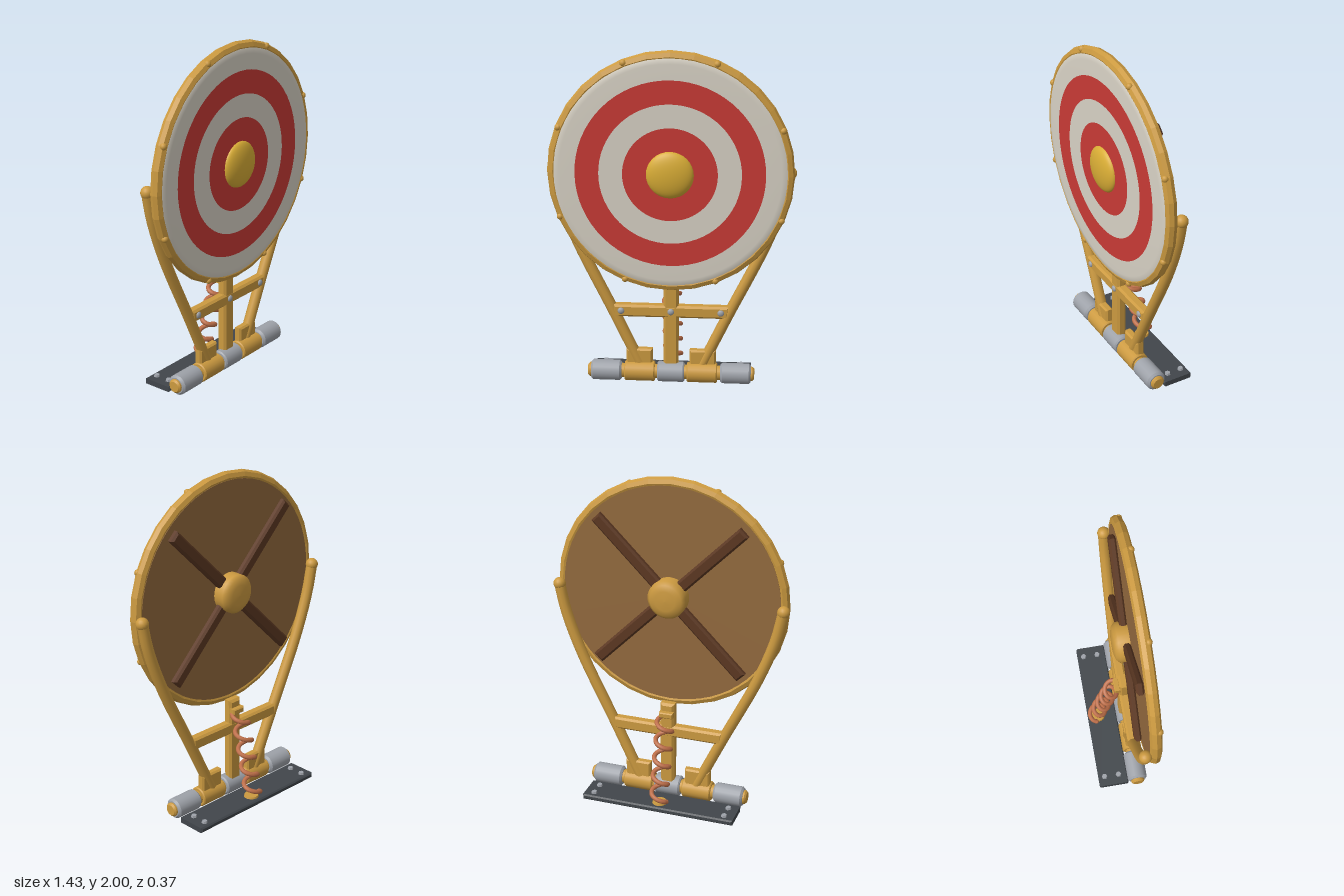
import * as THREE from 'three';

const material = (name, color, side = THREE.FrontSide) => {
  const m = new THREE.MeshStandardMaterial({ color, side });
  m.name = name;
  return m;
};

export function createModel() {
  const group = new THREE.Group();
  const brass = material('brass', 0xcc9a40);
  const gold = material('gold', 0xd9ad35);
  const cream = material('cream', 0xd8d2c5);
  const red = material('red', 0xc93a35);
  const wood = material('wood', 0x936a3e);
  const darkWood = material('dark wood', 0x5c3822);
  const copper = material('copper', 0xc0704a);
  const steel = material('steel', 0x9ea2a9);
  const iron = material('iron', 0x41464b);

  const CY = 1.3;   // centre height of the target
  const FZ = 0.043; // depth of the frame

  const add = (name, geometry, mat, x = 0, y = 0, z = 0, parent = group) => {
    const mesh = new THREE.Mesh(geometry, mat);
    mesh.name = name;
    mesh.position.set(x, y, z);
    parent.add(mesh);
    return mesh;
  };
  const flat = (g) => {
    const f = g.index ? g.toNonIndexed() : g;
    f.computeVertexNormals();
    return f;
  };
  // Box with chamfered edges, centred on its origin
  const chamferBox = (w, h, d, b = 0.01) => {
    const x = w / 2 - b, y = h / 2 - b;
    const s = new THREE.Shape();
    s.moveTo(-x, -y).lineTo(x, -y).lineTo(x, y).lineTo(-x, y).closePath();
    const g = new THREE.ExtrudeGeometry(s, {
      depth: d - 2 * b, bevelEnabled: true, bevelThickness: b, bevelSize: b, bevelSegments: 1,
    });
    return g.translate(0, 0, b - d / 2);
  };
  // Solid of revolution about y; profile runs from bottom to top
  const lathe = (points, n = 32) =>
    new THREE.LatheGeometry(points.map(([r, y]) => new THREE.Vector2(r, y)), n);
  // Chamfered cylinder along x
  const barrel = (r, len, b, n = 20) => {
    const h = len / 2;
    const ring = new THREE.CylinderGeometry(r, r, len - 2 * b, n, 1, true);
    const g = new THREE.Group();
    g.userData.parts = [
      ring,
      new THREE.CylinderGeometry(r - b, r, b, n).translate(0, h - b / 2, 0),
      new THREE.CylinderGeometry(r, r - b, b, n).translate(0, -h + b / 2, 0),
    ];
    return g.userData.parts.map((p) => p.rotateZ(Math.PI / 2));
  };
  const addBarrel = (name, r, len, b, mat, x, y, z) => {
    const holder = new THREE.Group();
    holder.name = name;
    holder.position.set(x, y, z);
    barrel(r, len, b).forEach((g) => add(name + 'Part', g, mat, 0, 0, 0, holder));
    group.add(holder);
  };

  // Target: wooden back, painted rings and round rim
  add('targetBack', new THREE.CylinderGeometry(0.655, 0.655, 0.05, 64).rotateX(Math.PI / 2), wood, 0, CY, 0.095);
  add('outerCreamRing', lathe([[0.655, 0.105], [0.667, 0.125], [0.66, 0.135], [0.63, 0.138], [0.54, 0.14]], 64)
    .rotateX(Math.PI / 2), cream, 0, CY, 0);
  [['outerRedRing', 0.405, 0.54, red], ['innerCreamRing', 0.27, 0.405, cream], ['innerRedRing', 0.1, 0.27, red]]
    .forEach(([name, r0, r1, mat]) => add(name, new THREE.RingGeometry(r0, r1, 64), mat, 0, CY, 0.14));
  add('rim', flat(new THREE.TorusGeometry(0.668, 0.034, 8, 32)), brass, 0, CY, 0.102);
  for (let i = 0; i < 8; i++) {
    const a = (i + 0.5) * Math.PI / 4;
    add('rimStud', new THREE.SphereGeometry(0.02, 12, 8), brass, 0.682 * Math.cos(a), CY + 0.682 * Math.sin(a), 0.122);
  }

  // Bosses in front and behind
  add('frontBoss', new THREE.SphereGeometry(0.136, 32, 12, 0, Math.PI * 2, 0, Math.PI / 2)
    .scale(1, 0.35, 1).rotateX(Math.PI / 2), gold, 0, CY, 0.137);
  add('backBoss', lathe([[0, -0.028], [0.06, -0.026], [0.095, -0.016], [0.115, 0.004], [0.115, 0.075]])
    .rotateX(Math.PI / 2), brass, 0, CY, 0);

  // Crossed braces behind the target
  [0, 1].forEach((i) => {
    const brace = add('backBrace', chamferBox(1.245, 0.07, 0.045, 0.012), darkWood, 0, CY, 0.05 - i * 0.001);
    brace.rotation.z = Math.PI / 4 + i * Math.PI / 2;
  });

  // Frame arms, their feet and hinge knuckles
  [-1, 1].forEach((s) => {
    const path = new THREE.CatmullRomCurve3(
      [[0.18, 0.1], [0.335, 0.43], [0.55, 0.88], [0.64, 1.13], [0.677, CY]]
        .map(([x, y]) => new THREE.Vector3(s * x, y, FZ)));
    add('arm', new THREE.TubeGeometry(path, 20, 0.033, 10), brass);
    add('armTip', new THREE.SphereGeometry(0.037, 16, 12), brass, s * 0.677, CY, FZ);
    add('armFoot', chamferBox(0.155, 0.11, 0.05), brass, s * 0.188, 0.152, FZ);
    addBarrel('armKnuckle', 0.06, 0.18, 0.006, brass, s * 0.185, 0.065, 0.055);
    addBarrel('baseKnuckle', 0.061, 0.182, 0.012, steel, s * 0.384, 0.065, 0.055);
  });
  addBarrel('centreKnuckle', 0.061, 0.16, 0.008, steel, 0, 0.065, 0.055);
  addBarrel('hingePin', 0.042, 0.99, 0.01, brass, 0, 0.065, 0.055);

  // Centre post, crossbar and bolts
  add('centrePost', chamferBox(0.088, 0.54, 0.06, 0.014), brass, 0, 0.36, FZ);
  add('crossbar', chamferBox(0.68, 0.074, 0.062, 0.012), brass, 0, 0.449, FZ);
  [-0.293, 0, 0.293].forEach((x) =>
    add('crossbarBolt', new THREE.SphereGeometry(0.02, 12, 8).scale(1, 1, 0.6), steel, x, 0.451, 0.075));

  // Return spring with its upper lug and lower seat
  const turns = 4.75, steps = 48, coil = [];
  for (let i = 0; i <= steps; i++) {
    const t = i / steps, a = t * turns * Math.PI * 2;
    coil.push(new THREE.Vector3(0.048 * Math.sin(a), 0.56 - 0.505 * t, -0.018 - 0.118 * t + 0.042 * Math.cos(a)));
  }
  add('spring', new THREE.TubeGeometry(new THREE.CatmullRomCurve3(coil), 96, 0.014, 8), copper);
  [coil[0], coil[steps]].forEach((p) => add('springEnd', new THREE.SphereGeometry(0.014, 10, 8), copper, p.x, p.y, p.z));
  add('springLug', chamferBox(0.085, 0.035, 0.045, 0.006), brass, 0, 0.565, 0.005);
  add('springSeat', new THREE.CylinderGeometry(0.042, 0.046, 0.014, 16), brass, 0, 0.038, -0.12);

  // Base plate with hexagonal bolts
  add('basePlate', chamferBox(0.944, 0.033, 0.187, 0.008), iron, 0, 0.0175, -0.0935);
  for (const x of [-0.412, 0.412]) for (const z of [-0.147, -0.057])
    add('baseBolt', flat(new THREE.CylinderGeometry(0.016, 0.019, 0.014, 6)), steel, x, 0.04, z);

  return group;
}
